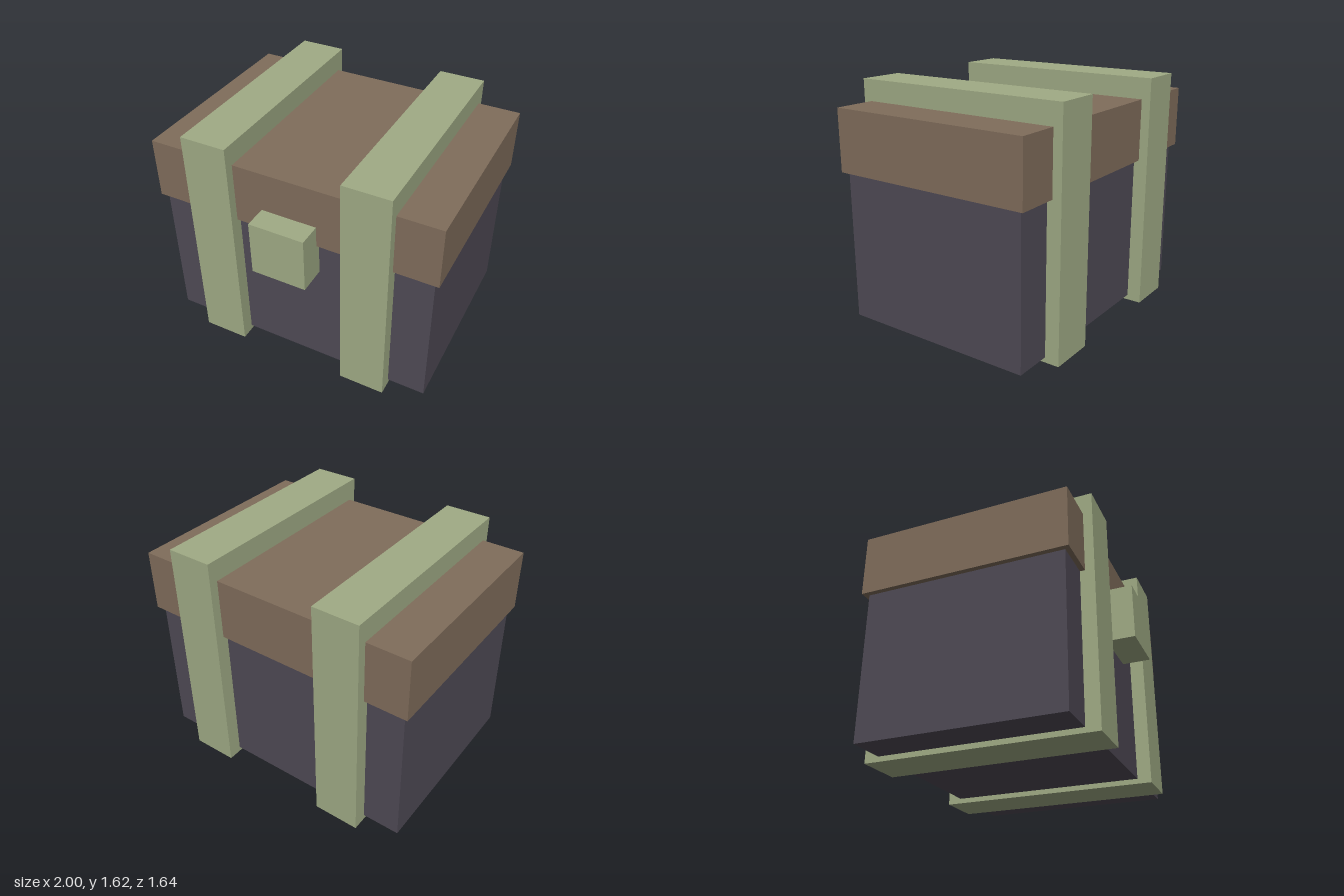
import * as THREE from 'three';

const material = (name, color) => {
  const m = new THREE.MeshStandardMaterial({ color });
  m.name = name;
  return m;
};

export function createModel() {
  const chest = new THREE.Group();
  chest.name = 'chest';
  const slate = material('dark slate', 0x4f4a55);
  const brown = material('brown', 0x806d5b);
  const green = material('sage green', 0xa0ab85);

  // Box given by its minimum and maximum corners
  const block = (name, mat, [x0, y0, z0], [x1, y1, z1]) => {
    const mesh = new THREE.Mesh(new THREE.BoxGeometry(x1 - x0, y1 - y0, z1 - z0), mat);
    mesh.position.set((x0 + x1) / 2, (y0 + y1) / 2, (z0 + z1) / 2);
    mesh.name = name;
    chest.add(mesh);
  };

  // Body and the slightly wider lid
  block('body', slate, [-0.965, 0.035, -0.725], [0.965, 1.05, 0.63]);
  block('lid', brown, [-1, 1.05, -0.76], [1, 1.472, 0.663]);

  // Straps wrapping the whole chest
  block('leftStrap', green, [0.388, 0, -0.822], [0.707, 1.617, 0.725]);
  block('rightStrap', green, [-0.707, 0, -0.822], [-0.388, 1.617, 0.725]);

  // Front lock, set into the body
  block('lock', green, [-0.192, 0.812, 0.6], [0.192, 1.197, 0.822]);

  return chest;
}
